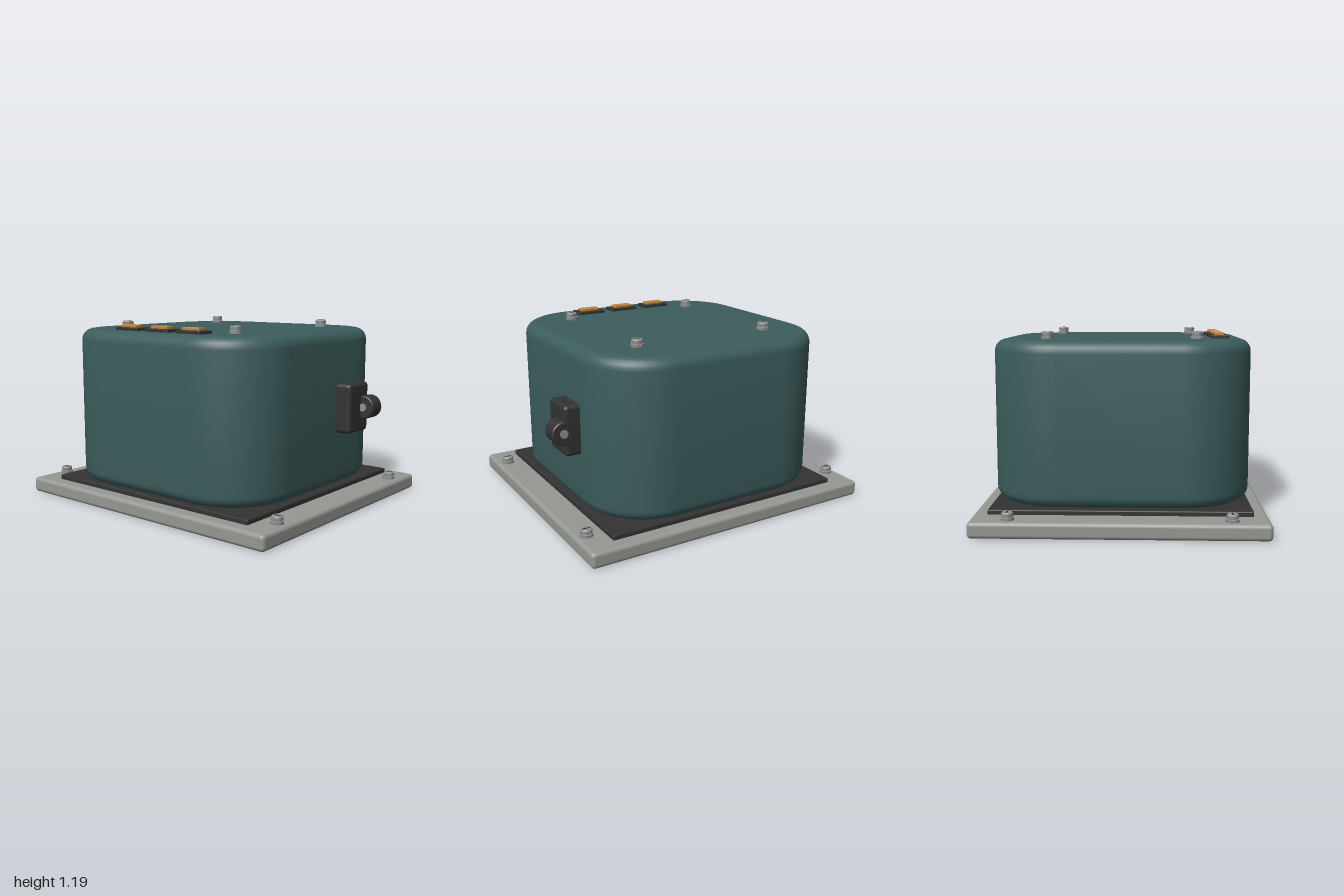
import * as THREE from 'three';
import { toCreasedNormals } from 'three/addons/utils/BufferGeometryUtils.js';
import { RoundedBoxGeometry } from 'three/addons/geometries/RoundedBoxGeometry.js';

function material(name, color) {
  const m = new THREE.MeshStandardMaterial({ color });
  m.name = name;
  return m;
}

const teal = material('teal paint', 0x3d5d5d);
const grey = material('grey metal', 0x969893);
const dark = material('dark rubber', 0x333333);
const amber = material('amber lens', 0xc1873f);
const steel = material('screw steel', 0x8b8e8c);

function add(parent, name, geometry, mat, x = 0, y = 0, z = 0) {
  const mesh = new THREE.Mesh(geometry, mat);
  mesh.name = name;
  mesh.position.set(x, y, z);
  parent.add(mesh);
  return mesh;
}

// Rounded square outline for the housing
function roundedRect(w, d, r) {
  const x = w / 2, y = d / 2, s = new THREE.Shape();
  s.moveTo(x, -y + r);
  s.lineTo(x, y - r);
  s.absarc(x - r, y - r, r, 0, Math.PI / 2);
  s.lineTo(-x + r, y);
  s.absarc(-x + r, y - r, r, Math.PI / 2, Math.PI);
  s.lineTo(-x, -y + r);
  s.absarc(-x + r, -y + r, r, Math.PI, Math.PI * 1.5);
  s.lineTo(x - r, -y);
  s.absarc(x - r, -y + r, r, Math.PI * 1.5, Math.PI * 2);
  return s;
}

// Upright prism with rounded top and bottom edges, standing on y = 0
function softPrism(w, d, h, corner, bevel) {
  const g = new THREE.ExtrudeGeometry(roundedRect(w - 2 * bevel, d - 2 * bevel, corner - bevel), {
    depth: h - 2 * bevel, bevelEnabled: true, bevelSize: bevel,
    bevelThickness: bevel, bevelSegments: 6, curveSegments: 16,
  });
  g.translate(0, 0, bevel);
  g.rotateX(-Math.PI / 2);
  return toCreasedNormals(g, 0.6);
}

// Lathe from [radius, height] pairs, with sharp edges kept
function turned(points) {
  const g = new THREE.LatheGeometry(points.map(p => new THREE.Vector2(...p)), 28);
  return toCreasedNormals(g.toNonIndexed(), 0.6);
}

// Slotted screw: washer, head and a thin dark slot
const screwGeometry = turned([[0, 0], [0.04, 0], [0.04, 0.018], [0.03, 0.02], [0.03, 0.025],
  [0.036, 0.025], [0.036, 0.042], [0.03, 0.049], [0, 0.049]]);
const slotGeometry = new THREE.BoxGeometry(0.05, 0.004, 0.009);

function addScrews(parent, name, x, y, z) {
  for (const sx of [-1, 1]) for (const sz of [-1, 1]) {
    const screw = new THREE.Group();
    screw.name = name;
    screw.position.set(sx * x, y, sz * z);
    add(screw, 'screwHead', screwGeometry, steel);
    add(screw, 'screwSlot', slotGeometry, dark, 0, 0.048, 0);
    parent.add(screw);
  }
}

export function createModel() {
  const model = new THREE.Group();
  model.name = 'switchBox';

  // Mounting plate and gasket
  add(model, 'basePlate', new RoundedBoxGeometry(2, 0.1, 1.78, 4, 0.025), grey, 0, 0.05, 0);
  add(model, 'gasket', new RoundedBoxGeometry(1.64, 0.05, 1.6, 3, 0.008), dark, 0, 0.105, 0);

  // Main housing
  add(model, 'housing', softPrism(1.62, 1.62, 1.01, 0.43, 0.075), teal, 0, 0.13, 0);

  // Screws on the plate and the lid
  addScrews(model, 'plateScrew', 0.925, 0.098, 0.66);
  addScrews(model, 'lidScrew', 0.468, 1.139, 0.468);

  // Indicator lamps along the front of the lid
  for (const x of [-0.265, 0, 0.265]) {
    const lamp = new THREE.Group();
    lamp.name = 'indicatorLamp';
    lamp.position.set(x, 1.14, 0.62);
    add(lamp, 'lampBezel', new RoundedBoxGeometry(0.2, 0.024, 0.112, 2, 0.006), dark, 0, 0.007, 0);
    add(lamp, 'lampLens', new RoundedBoxGeometry(0.136, 0.024, 0.06, 2, 0.005), amber, 0, 0.024, 0);
    model.add(lamp);
  }

  // Side block with roller on a steel pin
  const actuator = new THREE.Group();
  actuator.name = 'rollerActuator';
  actuator.position.set(0.8, 0.645, -0.253);
  add(actuator, 'sideBlock', new RoundedBoxGeometry(0.12, 0.322, 0.235, 4, 0.026), dark, 0.05, 0, 0);
  const roller = turned([[0, -0.057], [0.068, -0.057], [0.075, -0.05], [0.075, 0.05], [0.068, 0.057], [0, 0.057]]);
  add(actuator, 'roller', roller, dark, 0.125, 0, -0.077).rotation.x = Math.PI / 2;
  add(actuator, 'rollerPin', new THREE.CylinderGeometry(0.026, 0.026, 0.13, 24), steel, 0.125, 0, -0.077)
    .rotation.x = Math.PI / 2;
  model.add(actuator);

  return model;
}
